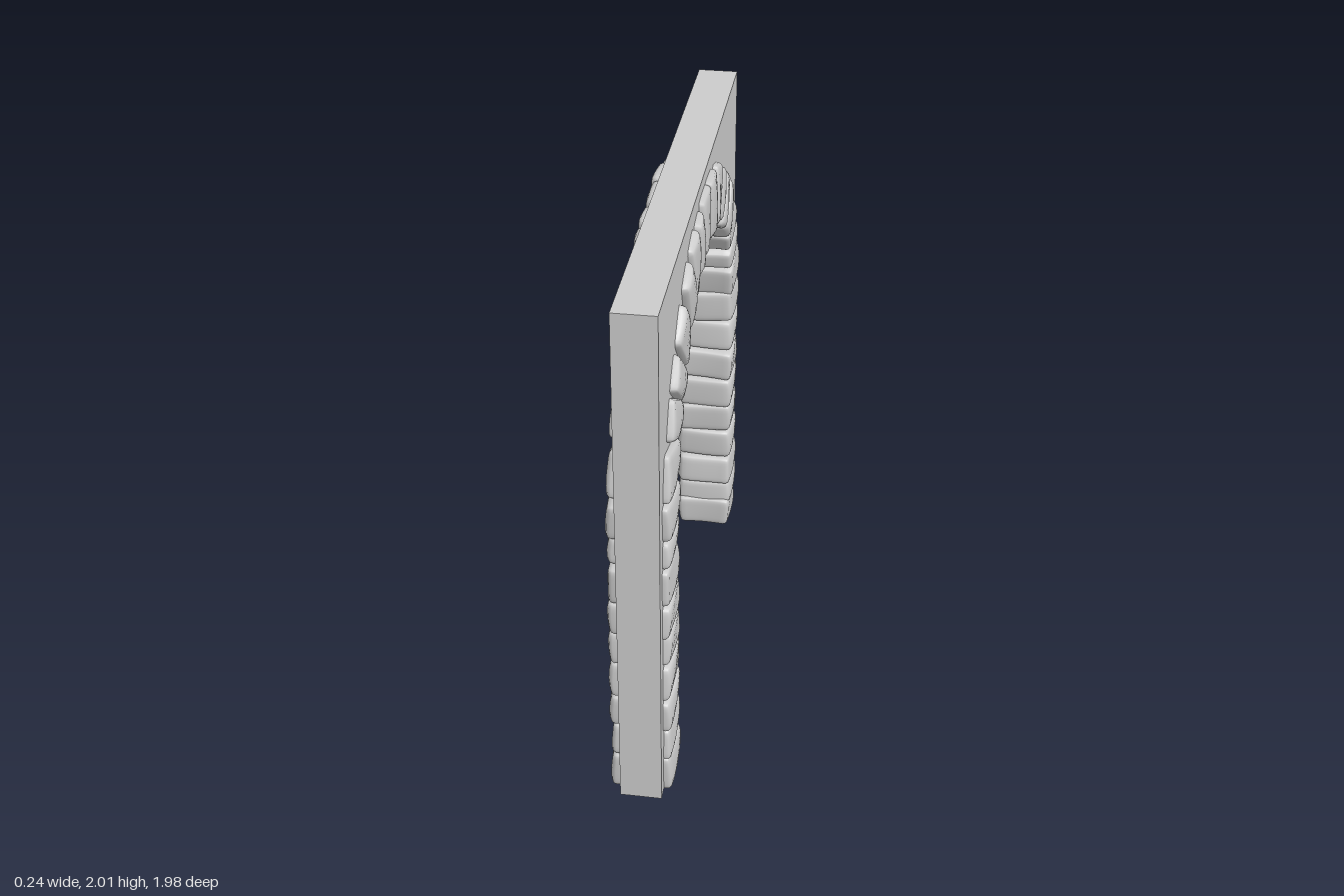
import * as THREE from 'three';
import { mergeVertices } from 'three/addons/utils/BufferGeometryUtils.js';

const material = new THREE.MeshStandardMaterial({ color: 0xcccccc });

// Jamb stones: [bottom, top, inner edge, outer edge], measured from the arch centre line
const LEFT_JAMB = [
  [0.0, 0.16, 0.705, 0.94], [0.16, 0.293, 0.715, 0.935], [0.295, 0.43, 0.71, 0.945],
  [0.43, 0.575, 0.715, 0.945], [0.58, 0.71, 0.72, 0.94], [0.71, 0.843, 0.72, 0.95],
  [0.845, 0.995, 0.72, 0.95], [0.995, 1.1, 0.71, 0.93], [1.1, 1.245, 0.705, 0.935],
];
const RIGHT_JAMB = [
  [0.01, 0.145, 0.705, 0.92], [0.12, 0.23, 0.72, 0.935], [0.23, 0.357, 0.71, 0.93],
  [0.357, 0.49, 0.715, 0.93], [0.49, 0.617, 0.715, 0.94], [0.617, 0.75, 0.715, 0.93],
  [0.75, 0.882, 0.715, 0.93], [0.882, 1.013, 0.73, 0.945], [1.013, 1.15, 0.72, 0.95],
];
// Voussoirs: [across, height, radial size, width, outward angle in degrees]
const VOUSSOIRS = [
  [-0.8, 1.32, 0.225, 0.165, 169], [-0.73, 1.47, 0.2, 0.14, 153],
  [-0.65, 1.575, 0.215, 0.125, 137], [-0.54, 1.675, 0.22, 0.14, 131],
  [-0.41, 1.755, 0.23, 0.12, 115], [-0.28, 1.805, 0.225, 0.12, 103],
  [-0.16, 1.825, 0.215, 0.1, 93], [-0.015, 1.84, 0.23, 0.155, 90],
  [0.14, 1.835, 0.235, 0.158, 86], [0.295, 1.805, 0.225, 0.115, 73],
  [0.395, 1.75, 0.205, 0.085, 65], [0.515, 1.68, 0.215, 0.12, 56],
  [0.64, 1.58, 0.205, 0.135, 45], [0.725, 1.47, 0.205, 0.112, 31],
  [0.775, 1.355, 0.2, 0.085, 23], [0.825, 1.23, 0.22, 0.145, 14],
];

let seed = 7;
function jitter(amount) {
  seed = (seed * 16807) % 2147483647;
  return (seed / 2147483647 - 0.5) * 2 * amount;
}

// Soft-edged, slightly irregular block: x = wall depth, y = width, z = radial
function stoneGeometry(depth, width, radial, taper) {
  const geometry = new THREE.BoxGeometry(2, 2, 2, 8, 8, 8);
  geometry.deleteAttribute('uv');
  geometry.deleteAttribute('normal');
  const half = new THREE.Vector3(depth / 2, width / 2, radial / 2);
  const radius = 0.017;
  const core = half.clone().subScalar(radius);
  const p = new THREE.Vector3(), inner = new THREE.Vector3();
  const spread = (t) => Math.sign(t) * Math.abs(t) ** 0.55;
  const shear = jitter(0.007), skew = jitter(0.006), twist = jitter(0.006);
  const phase = jitter(3), lean = jitter(0.004);
  const position = geometry.attributes.position;
  for (let i = 0; i < position.count; i++) {
    p.fromBufferAttribute(position, i);
    p.set(spread(p.x), spread(p.y), spread(p.z)).multiply(half);
    // round the edges
    inner.copy(p).clamp(core.clone().negate(), core);
    p.sub(inner).setLength(radius).add(inner);
    const u = p.x / half.x, v = p.y / half.y, w = p.z / half.z;
    // pillowed faces, narrower toward the opening, with hand-cut unevenness
    p.x *= 1 - 0.05 * (v * v + w * w) + 0.025 * Math.sin(2 * v + 1.6 * w + phase);
    p.z *= 1 - 0.025 * v * v;
    p.y *= 1 - taper * w - 0.02 * w * w;
    p.y += shear * w + twist * u * w;
    p.z += skew * v + lean * u + 0.004 * Math.sin(2.2 * u + phase);
    position.setXYZ(i, p.x, p.y, p.z);
  }
  const merged = mergeVertices(geometry, 1e-5);
  merged.computeVertexNormals();
  return merged;
}

function addStone(group, name, [across, height, radial, width, degrees], taper) {
  const geometry = stoneGeometry(0.228 + jitter(0.004), width, radial, taper);
  const stone = new THREE.Mesh(geometry, material);
  stone.name = name;
  stone.position.set(-0.002, height, -across);
  stone.rotation.x = THREE.MathUtils.degToRad(degrees);
  group.add(stone);
}

function jamb(name, courses, side) {
  const group = new THREE.Group();
  group.name = name;
  courses.forEach(([bottom, top, near, far], i) => addStone(group, `${name}Stone${i + 1}`,
    [side * (near + far) / 2, (bottom + top) / 2, far - near, top - bottom, side > 0 ? 0 : 180], 0));
  return group;
}

// Flat slab whose opening runs through the middle of the stones
function wall() {
  const outline = new THREE.Shape();
  outline.moveTo(-0.99, 0.02);
  outline.lineTo(-0.83, 0.02);
  outline.lineTo(-0.83, 1.17);
  VOUSSOIRS.forEach(([across, height]) => outline.lineTo(across, height));
  outline.lineTo(0.83, 1.08);
  outline.lineTo(0.82, 0.02);
  outline.lineTo(0.99, 0.02);
  outline.lineTo(0.99, 2);
  outline.lineTo(-0.99, 2);
  outline.closePath();
  const geometry = new THREE.ExtrudeGeometry(outline, { depth: 0.15, bevelEnabled: false });
  geometry.rotateY(Math.PI / 2);
  geometry.translate(-0.07, 0, 0);
  const mesh = new THREE.Mesh(geometry, material);
  mesh.name = 'wall';
  return mesh;
}

export function createModel() {
  seed = 7;
  const model = new THREE.Group();
  model.name = 'stoneArchway';
  const arch = new THREE.Group();
  arch.name = 'archRing';
  VOUSSOIRS.forEach((stone, i) => addStone(arch, `voussoir${i + 1}`, stone, 0.06));
  model.add(wall(), jamb('frontJamb', LEFT_JAMB, -1), jamb('backJamb', RIGHT_JAMB, 1), arch);
  return model;
}
